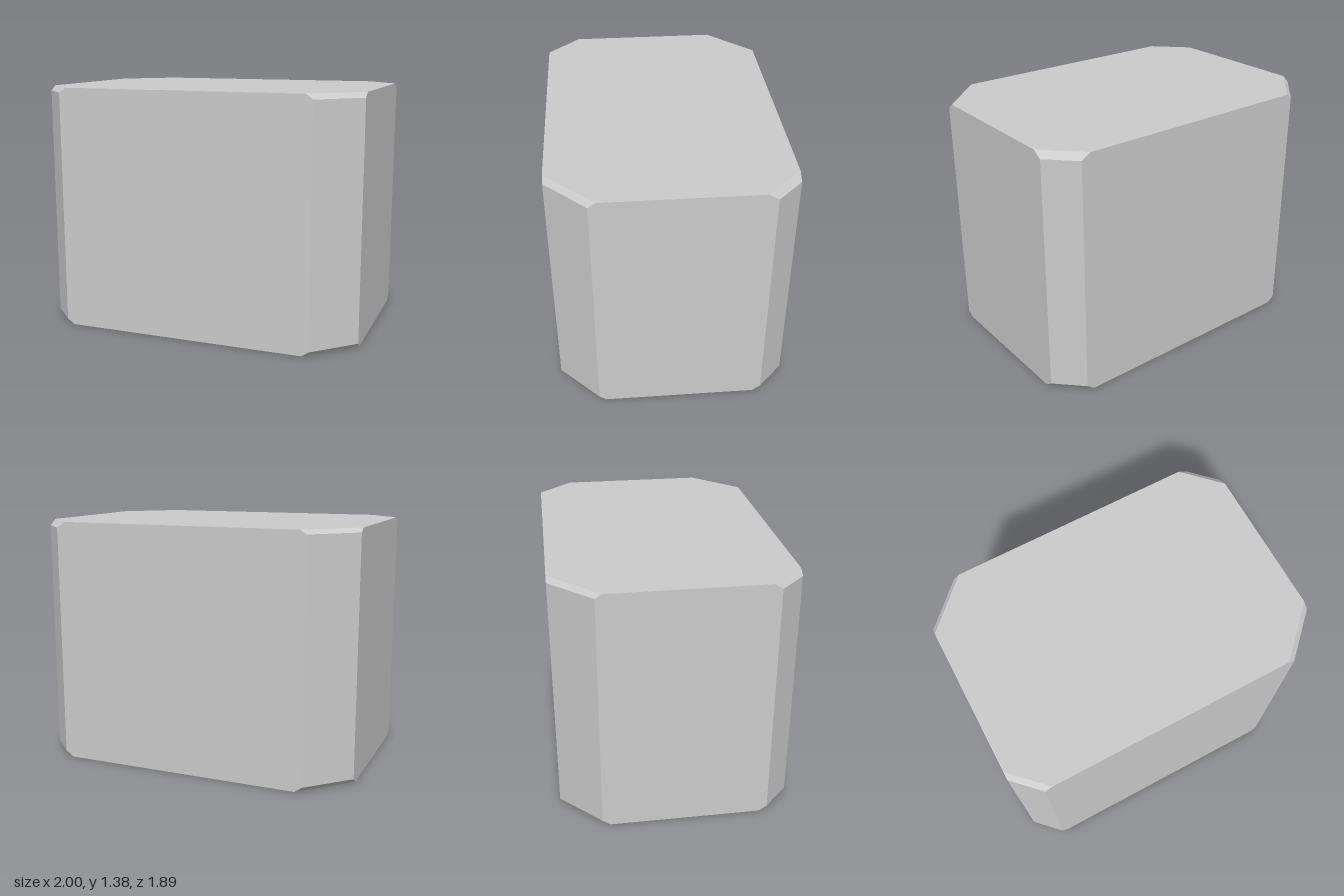
import * as THREE from 'three';

const HEIGHT = 1.385;

// Octagon of four diagonal walls cut by corner faces at the given distances.
// Corners run front, right, back, left; y holds one height per corner face.
function ring([f, r, b, l], y) {
  const corners = [
    [f - 0.905, f], [1.29 - f, f],
    [r, 1.29 - r], [r, r - 0.91],
    [0.91 - b, -b], [b - 1.295, -b],
    [-l, l - 1.295], [-l, 0.905 - l],
  ];
  return corners.map(([x, z], i) => [x, y[i >> 1], z]);
}

// Flat-faced skin through a stack of rings, closed at both ends.
function loft(rings) {
  const positions = [];
  const tri = (...points) => points.forEach((p) => positions.push(...p));
  const n = rings[0].length;
  for (let k = 0; k < rings.length - 1; k++) {
    for (let i = 0; i < n; i++) {
      const j = (i + 1) % n;
      const [a, b, c, d] = [rings[k][i], rings[k][j], rings[k + 1][j], rings[k + 1][i]];
      tri(a, b, c);
      tri(a, c, d);
    }
  }
  const bottom = rings[0];
  const top = rings[rings.length - 1];
  for (let i = 1; i < n - 1; i++) {
    tri(bottom[0], bottom[i + 1], bottom[i]);
    tri(top[0], top[i], top[i + 1]);
  }
  const geometry = new THREE.BufferGeometry();
  geometry.setAttribute('position', new THREE.Float32BufferAttribute(positions, 3));
  geometry.computeVertexNormals();
  return geometry;
}

export function createModel() {
  const group = new THREE.Group();
  group.name = 'chamferedBlock';

  // Corner faces are bevelled where they meet the top and bottom.
  const outer = [0.942, 1, 0.945, 1];
  const block = new THREE.Mesh(
    loft([
      ring([0.915, 0.968, 0.915, 0.97], [0, 0, 0, 0]),
      ring(outer, [0.027, 0.033, 0.03, 0.03]),
      ring(outer, [1.357, 1.352, 1.362, 1.357]),
      ring([0.915, 0.963, 0.921, 0.97], Array(4).fill(HEIGHT)),
    ]),
    new THREE.MeshStandardMaterial({ color: 0xcccccc, flatShading: true }),
  );
  block.name = 'block';
  group.add(block);
  return group;
}
